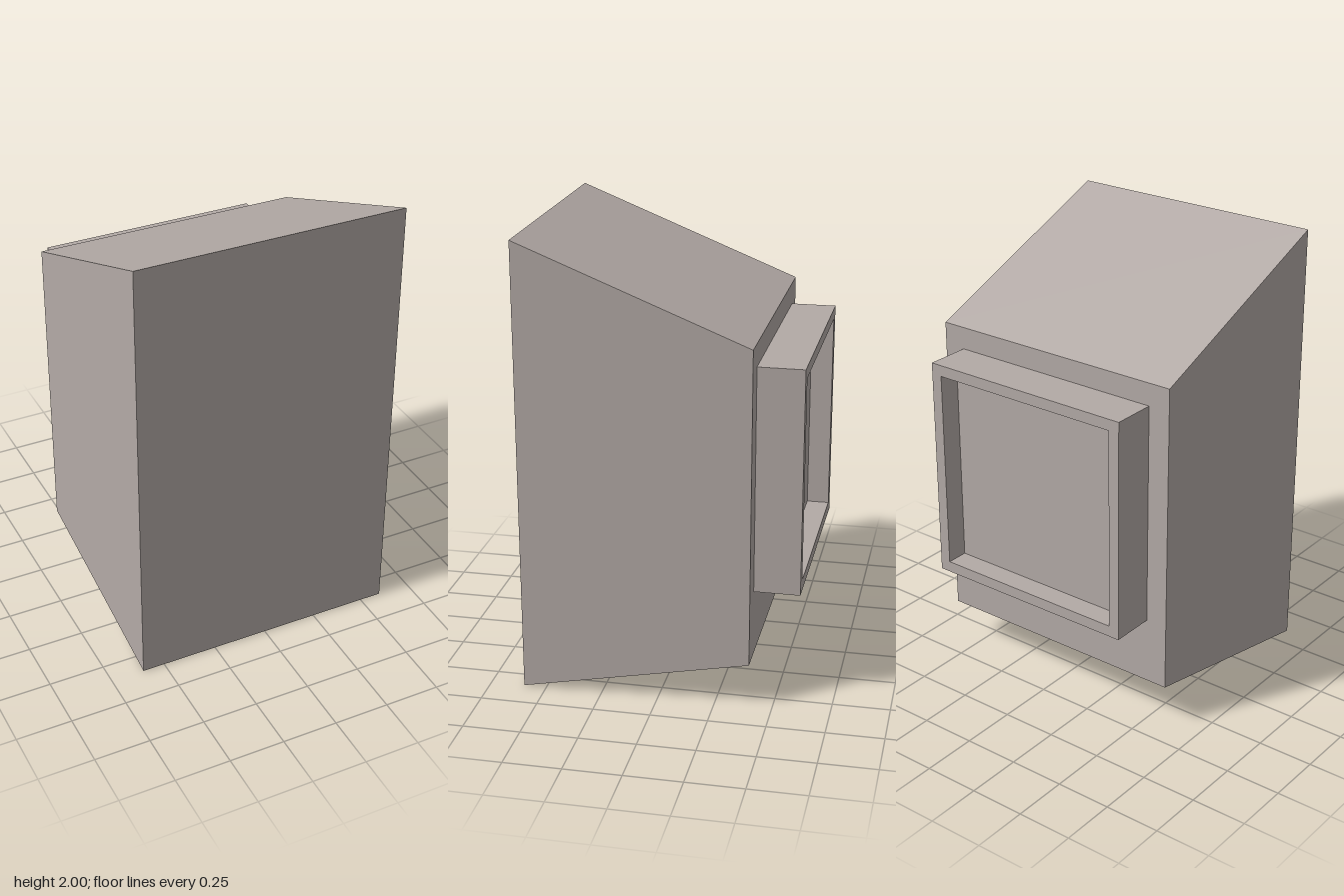
import * as THREE from 'three';

const stone = new THREE.MeshStandardMaterial({ color: 0xb3aaa6 });
stone.name = 'warm grey';

function add(group, name, geometry) {
  const mesh = new THREE.Mesh(geometry, stone);
  mesh.name = name;
  group.add(mesh);
  return mesh;
}

// Centred square outline, corners counter-clockwise
function square(half) {
  return [[-half, -half], [half, -half], [half, half], [-half, half]].map(([x, y]) => new THREE.Vector2(x, y));
}

export function createModel() {
  const model = new THREE.Group();
  model.name = 'model';

  // Tapered body: side profile (z, y) extruded across the width
  const profile = [[0.6, 0], [0.6, 2], [-0.4, 1.6], [-0.4, 0.2]].map(([z, y]) => new THREE.Vector2(z, y));
  const bodyGeometry = new THREE.ExtrudeGeometry(new THREE.Shape(profile), { depth: 1.2, bevelEnabled: false });
  bodyGeometry.rotateY(-Math.PI / 2).translate(0.6, 0, 0);
  add(model, 'body', bodyGeometry);

  // Square frame standing out from the back
  const outline = new THREE.Shape(square(0.5));
  outline.holes.push(new THREE.Path(square(0.45)));
  const frameGeometry = new THREE.ExtrudeGeometry(outline, { depth: 0.2, bevelEnabled: false });
  add(model, 'backFrame', frameGeometry).position.set(0, 1, -0.6);

  // Panel recessed inside the frame
  add(model, 'recessedPanel', new THREE.BoxGeometry(0.9, 0.9, 0.1)).position.set(0, 1, -0.45);

  return model;
}
